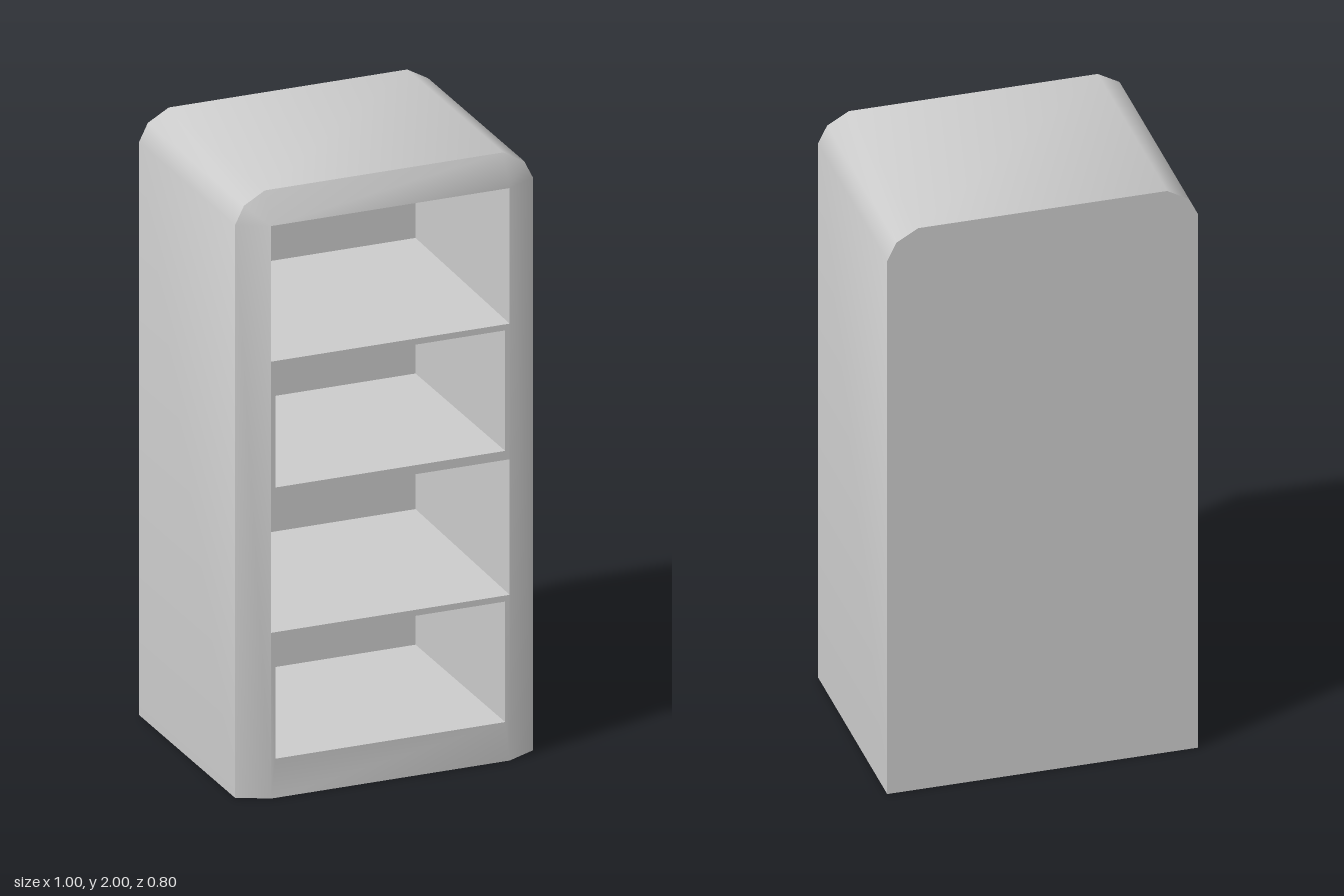
import * as THREE from 'three';
import { toCreasedNormals } from 'three/addons/utils/BufferGeometryUtils.js';

const material = new THREE.MeshStandardMaterial({ color: 0xcccccc });

// Rings are lists of points running counter-clockwise seen from the front
const rect = (halfWidth, y0, y1, z) => [
  [-halfWidth, y0, z], [halfWidth, y0, z], [halfWidth, y1, z], [-halfWidth, y1, z],
].map((p) => new THREE.Vector3(...p));

function tri(out, a, b, c) {
  if (a.equals(b) || b.equals(c) || c.equals(a)) return; // collapsed corners
  out.push(a, b, c);
}

// Band of faces joining two rings
function band(out, a, b) {
  a.forEach((p, i) => {
    const j = (i + 1) % a.length;
    tri(out, p, a[j], b[j]);
    tri(out, p, b[j], b[i]);
  });
}

// Flat fan closing a ring
function cap(out, ring) {
  for (let i = 1; i < ring.length - 1; i++) tri(out, ring[0], ring[i], ring[i + 1]);
}

function makeMesh(name, points, crease) {
  const geometry = new THREE.BufferGeometry().setFromPoints(points);
  const mesh = new THREE.Mesh(toCreasedNormals(geometry, crease), material);
  mesh.name = name;
  return mesh;
}

export function createModel() {
  const group = new THREE.Group();
  group.name = 'shelfCabinet';

  // Four bays, bottom to top: straight and drafted openings alternate
  const bays = [
    { y0: 0, y1: 0.55, open: [0.385, 0.13, 0.53] },
    { y0: 0.55, y1: 1.0, open: [0.4, 0.55, 1.0] },
    { y0: 1.0, y1: 1.45, open: [0.385, 1.03, 1.43] },
    { y0: 1.45, y1: 1.9, open: [0.4, 1.45, 1.9] },
  ];

  // Outer case: rounded top corners, front edge bevelled in on sides and top
  const outline = [
    [-0.5, 0], [0.5, 0], [0.5, 1.9], [0.47, 1.96], [0.4, 2],
    [-0.4, 2], [-0.47, 1.96], [-0.5, 1.9],
  ];
  const back = outline.map(([x, y]) => new THREE.Vector3(x, y, -0.4));
  const shoulder = outline.map(([x, y]) => new THREE.Vector3(x, y, 0.35));
  const front = outline.map(([x, y]) =>
    new THREE.Vector3(THREE.MathUtils.clamp(x, -0.4, 0.4), Math.min(y, 1.9), 0.4));

  const shell = [];
  band(shell, back, shoulder);
  band(shell, shoulder, front);
  cap(shell, [...back].reverse());

  // Front frame around the straight openings
  for (const { y0, y1, open } of bays) {
    if (open[0] < 0.4) band(shell, rect(0.4, y0, y1, 0.4), rect(...open, 0.4));
  }
  group.add(makeMesh('case', shell, THREE.MathUtils.degToRad(40)));

  // Shelf compartments, all ending in the same size of back panel
  bays.forEach(({ open }, i) => {
    const floor = 0.13 + i * 0.45;
    const rear = rect(0.385, floor, floor + 0.4, -0.3);
    const faces = [];
    band(faces, rect(...open, 0.4), rear);
    cap(faces, rear);
    group.add(makeMesh(`compartment${i + 1}`, faces, 0.1));
  });

  return group;
}
